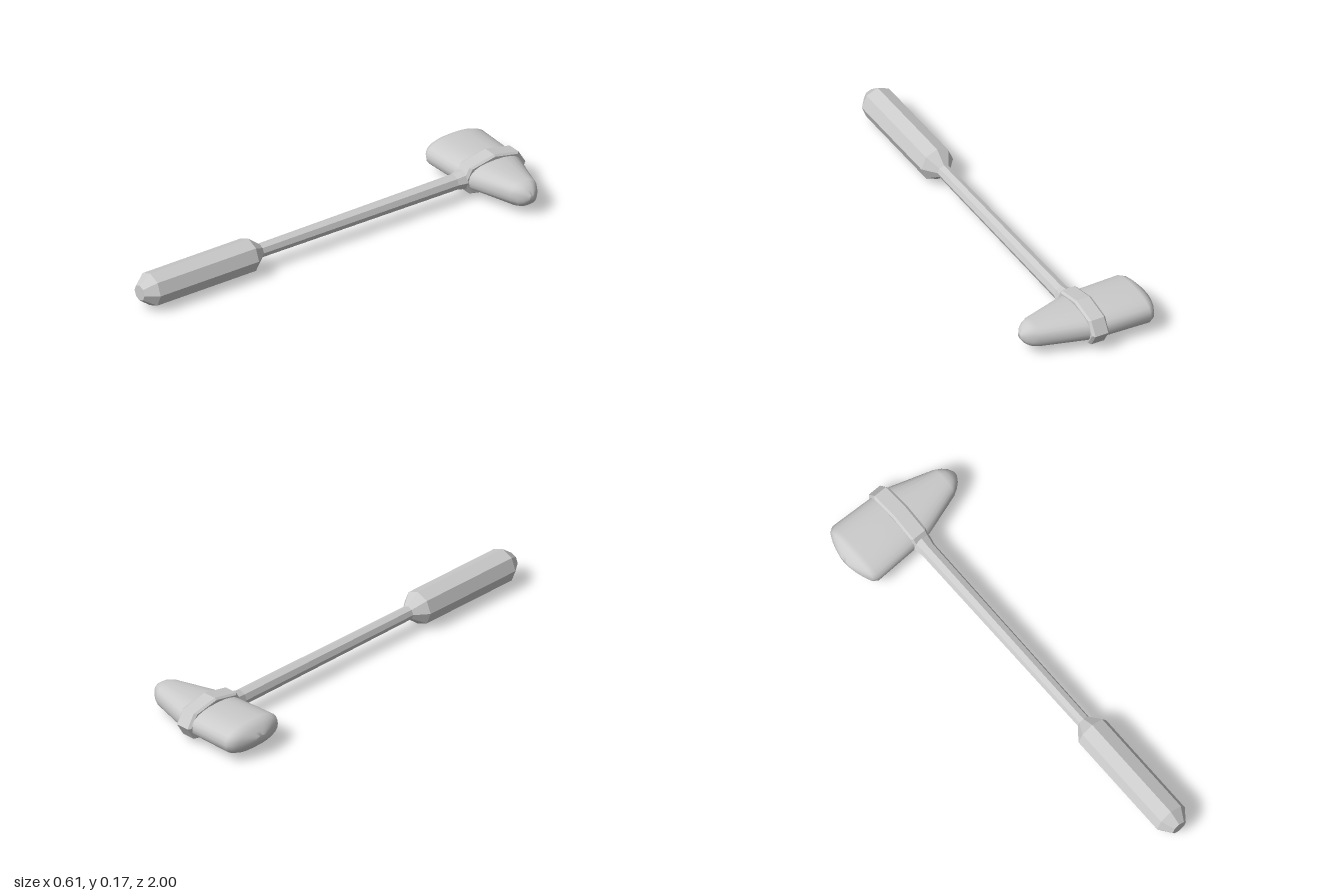
import * as THREE from 'three';

const AXIS_Y = 0.088;
const HEAD_Z = -0.832;

// Skin closed cross-sections along x; each ring is [x, points(y, z)]
function loft(rings) {
  const n = rings[0][1].length;
  const pos = [], index = [];
  for (const [x, pts] of rings) for (const [y, z] of pts) pos.push(x, y, z);
  for (let i = 0; i < rings.length - 1; i++) {
    for (let j = 0; j < n; j++) {
      const a = i * n + j, b = i * n + (j + 1) % n;
      index.push(a, b, a + n, b, b + n, a + n);
    }
  }
  // End caps
  const last = (rings.length - 1) * n;
  for (let j = 1; j < n - 1; j++) {
    index.push(0, j + 1, j, last, last + j, last + j + 1);
  }
  const g = new THREE.BufferGeometry();
  g.setAttribute('position', new THREE.Float32BufferAttribute(pos, 3));
  g.setIndex(index);
  g.computeVertexNormals();
  return g;
}

// Rounded oval cross-section with half height hy and half depth hz
function oval(hy, hz, n = 24) {
  const soft = (v) => Math.sign(v) * Math.abs(v) ** 0.82;
  return Array.from({ length: n }, (_, i) => {
    const a = (i / n) * Math.PI * 2;
    return [hy * soft(Math.cos(a)), hz * soft(Math.sin(a))];
  });
}

export function createModel() {
  const model = new THREE.Group();
  model.name = 'reflexHammer';
  const smooth = new THREE.MeshStandardMaterial({ color: 0xcccccc });
  const faceted = new THREE.MeshStandardMaterial({ color: 0xcccccc, flatShading: true });

  const add = (name, geometry, material, z = 0) => {
    const mesh = new THREE.Mesh(geometry, material);
    mesh.name = name;
    mesh.position.set(-0.002, AXIS_Y, z);
    model.add(mesh);
  };

  // Eight-sided turned parts along z, profile given as [radius, z]
  const turned = (name, profile) => {
    const points = profile.map(([r, z]) => new THREE.Vector2(r, z));
    add(name, new THREE.LatheGeometry(points, 8).rotateX(Math.PI / 2), faceted);
  };
  turned('grip', [[0, 0.37], [0.03, 0.37], [0.077, 0.43], [0.077, 0.945], [0.036, 1], [0, 1]]);
  turned('shaft', [[0, -0.71], [0.046, -0.69], [0.036, -0.645], [0.031, 0.38], [0, 0.38]]);

  // Rubber head: broad domed end at -x, narrow blade end at +x
  const headSections = [
    [-0.306, 0.012, 0.03], [-0.296, 0.03, 0.072], [-0.283, 0.045, 0.11],
    [-0.268, 0.058, 0.14], [-0.245, 0.066, 0.155], [-0.04, 0.066, 0.147],
    [0.04, 0.066, 0.138], [0.245, 0.057, 0.07], [0.272, 0.05, 0.054],
    [0.293, 0.035, 0.036], [0.308, 0.012, 0.013],
  ];
  add('head', loft(headSections.map(([x, hy, hz]) => [x, oval(hy, hz)])), smooth, HEAD_Z);

  // Chamfered eight-sided band around the head
  const bandOutline = [
    [0.087, 0], [0.061, 0.128], [0, 0.166], [-0.061, 0.128],
    [-0.087, 0], [-0.061, -0.128], [0, -0.166], [-0.061 * -1, -0.128],
  ];
  const bandRings = [[-0.041, 0.92], [-0.031, 1], [0.031, 1], [0.041, 0.92]];
  add('band', loft(bandRings.map(([x, s]) =>
    [x, bandOutline.map(([y, z]) => [y * s, z * s])])), faceted, HEAD_Z);

  return model;
}
